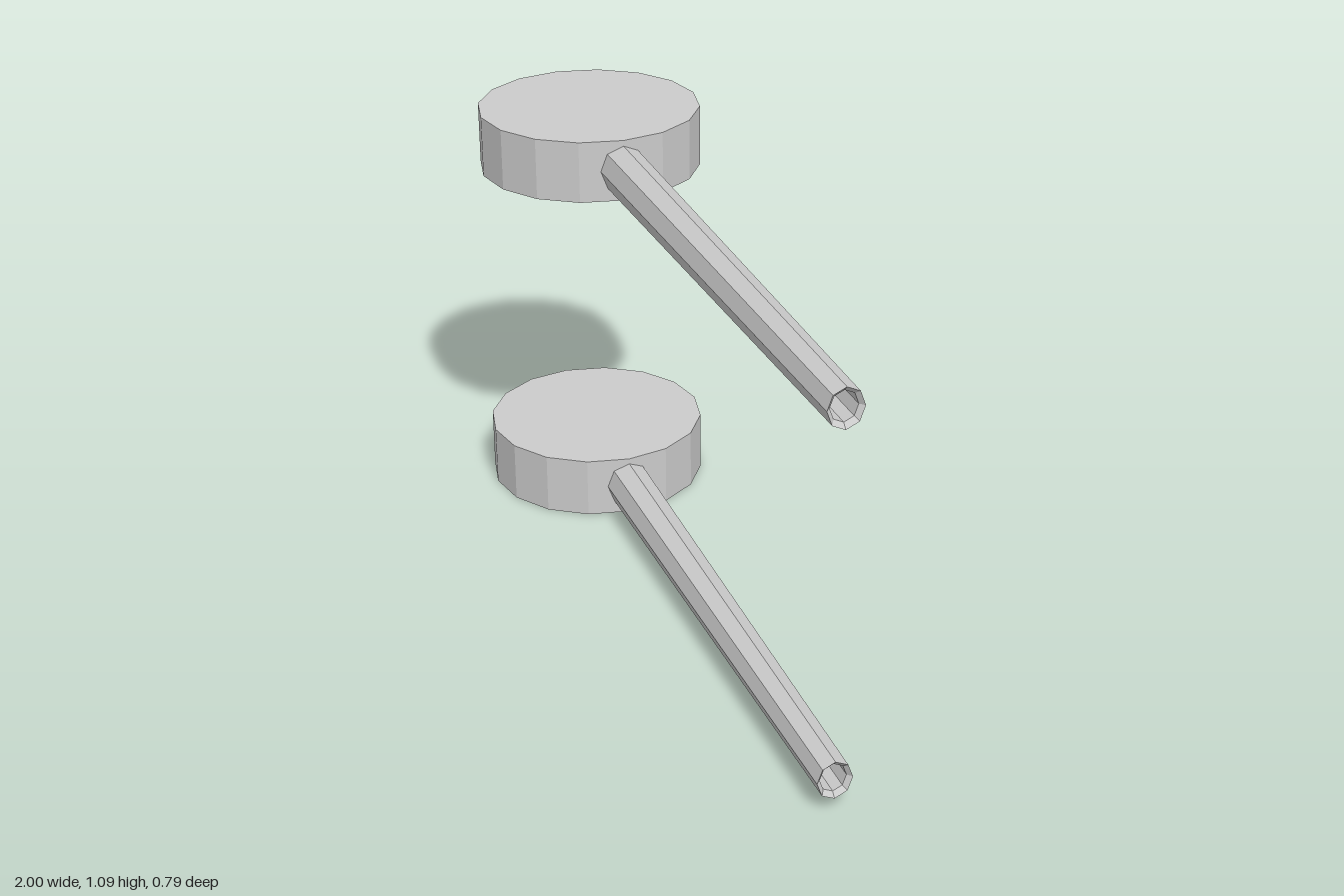
import * as THREE from 'three';

const RADIUS = 0.299, THICK = 0.165, LIFT = 0.929;
const HANDLE_START = 0.25, HANDLE_END = 1.752;

const material = new THREE.MeshStandardMaterial({
  color: 0xcccccc, flatShading: true, side: THREE.DoubleSide,
});

// One round head with a tapered, hollow-ended handle along local +x
function createPaddle() {
  const paddle = new THREE.Group();

  // Sixteen-sided head, one corner pointing along the handle
  const disc = new THREE.CylinderGeometry(RADIUS, RADIUS, THICK, 16);
  disc.rotateY(Math.PI / 2);
  const head = new THREE.Mesh(disc, material);
  head.name = 'head';
  paddle.add(head);

  // Eight-sided handle: outer taper, bevelled mouth, then a deep bore
  const profile = [
    [0, HANDLE_START],
    [0.0677, HANDLE_START],
    [0.0495, HANDLE_END],
    [0.037, HANDLE_END - 0.012],
    [0.037, HANDLE_END - 0.3],
    [0, HANDLE_END - 0.3],
  ].map(([r, s]) => new THREE.Vector2(r, s));
  const shaft = new THREE.LatheGeometry(profile, 8);
  shaft.rotateZ(-Math.PI / 2);
  shaft.scale(1, 1, 0.88); // slightly narrower than tall
  const handle = new THREE.Mesh(shaft, material);
  handle.name = 'handle';
  paddle.add(handle);

  return paddle;
}

export function createModel() {
  const model = new THREE.Group();
  model.name = 'paddlePair';
  ['lowerPaddle', 'upperPaddle'].forEach((name, i) => {
    const paddle = createPaddle();
    paddle.name = name;
    paddle.position.set(-0.705, THICK / 2 + i * LIFT, -0.102);
    paddle.rotation.y = -THREE.MathUtils.degToRad(15);
    model.add(paddle);
  });
  return model;
}
